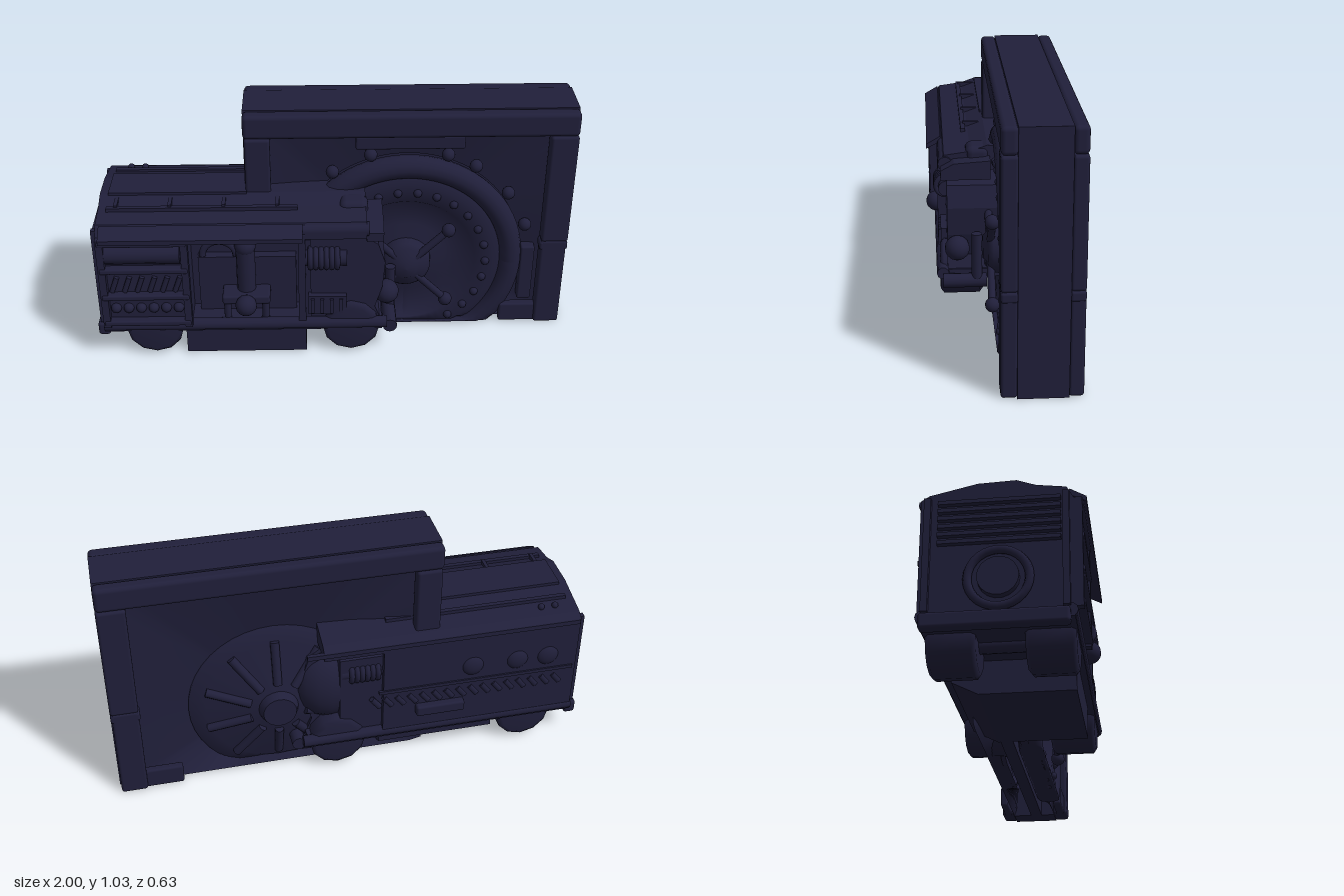
import * as THREE from 'three';
import { RoundedBoxGeometry } from 'three/addons/geometries/RoundedBoxGeometry.js';

const navy = new THREE.MeshStandardMaterial({ color: 0x201f3a, side: THREE.DoubleSide });
navy.name = 'dark navy';
const CX = 0.31, CY = 0.31; // centre of the wheel in the wall

export function createModel() {
  const model = new THREE.Group();
  let parent = model;
  const section = (name) => {
    parent = new THREE.Group();
    parent.name = name;
    model.add(parent);
  };
  const add = (name, geo, x = 0, y = 0, z = 0) => {
    const m = new THREE.Mesh(geo, navy);
    m.name = name;
    m.position.set(x, y, z);
    parent.add(m);
    return m;
  };
  // box from min/max limits, r rounds the edges
  const box = (name, x0, x1, y0, y1, z0, z1, r = 0) => add(name,
    r ? new RoundedBoxGeometry(x1 - x0, y1 - y0, z1 - z0, 2, r) : new THREE.BoxGeometry(x1 - x0, y1 - y0, z1 - z0),
    (x0 + x1) / 2, (y0 + y1) / 2, (z0 + z1) / 2);
  const ball = (name, r, x, y, z) => add(name, new THREE.SphereGeometry(r, 14, 10), x, y, z);
  const rod = (name, a, b, r, sides = 12) => {
    const p = new THREE.Vector3(...a), q = new THREE.Vector3(...b);
    const m = add(name, new THREE.CylinderGeometry(r, r, p.distanceTo(q), sides));
    m.position.copy(p).add(q).multiplyScalar(0.5);
    m.quaternion.setFromUnitVectors(new THREE.Vector3(0, 1, 0), q.sub(p).normalize());
    return m;
  };
  const extrude = (pts, depth) => new THREE.ExtrudeGeometry(
    new THREE.Shape(pts.map((p) => new THREE.Vector2(...p))), { depth, bevelEnabled: false });
  // [z, y] cross-section run along x
  const prism = (name, pts, x0, x1) =>
    add(name, extrude(pts.map(([z, y]) => [-z, y]), x1 - x0).rotateY(Math.PI / 2), x0, 0, 0);
  // [radius, z] profile turned about the z axis
  const turned = (pts, sides) =>
    new THREE.LatheGeometry(pts.map((p) => new THREE.Vector2(...p)), sides).rotateX(Math.PI / 2);
  // cut round wheel parts off flat at the ground
  const cutAtGround = (g) => {
    const p = g.attributes.position;
    for (let i = 0; i < p.count; i++) p.setY(i, Math.max(p.getY(i), -CY));
    g.computeVertexNormals();
    return g;
  };
  // panel running from the rectangular frame to a circle
  const funnel = (name, zOuter, zInner, r, side) => {
    const n = 128, pos = [], idx = [];
    for (let i = 0; i <= n; i++) {
      const a = side * (i / n) * Math.PI * 2, c = Math.cos(a), s = Math.sin(a);
      const t = Math.min((c > 0 ? 0.64 : 0.63) / Math.abs(c || 1e-6), (s > 0 ? 0.68 : CY) / Math.abs(s || 1e-6));
      const k = Math.min(r, t);
      pos.push(CX + c * t, CY + s * t, zOuter, CX + c * k, CY + s * k, zInner);
      if (i < n) idx.push(2 * i, 2 * i + 2, 2 * i + 1, 2 * i + 1, 2 * i + 2, 2 * i + 3);
    }
    const g = new THREE.BufferGeometry();
    g.setAttribute('position', new THREE.Float32BufferAttribute(pos, 3));
    g.setIndex(idx);
    g.computeVertexNormals();
    add(name, g);
  };

  // wall frame
  section('wall');
  box('wallCore', -0.35, 0.97, 0, 1.0, -0.11, -0.06);
  box('wallTop', -0.37, 1, 0.93, 1.03, -0.19, 0);
  box('wallEndLeft', 0.9, 1, 0, 0.95, -0.19, 0);
  box('wallEndRight', -0.37, -0.27, 0.1, 0.95, -0.19, 0);
  for (const [z0, z1] of [[-0.002, 0.06], [-0.245, -0.188]]) {
    box('topBeam', -0.37, 1, 0.925, 1.03, z0, z1, 0.018);
    box('upperColumn', 0.885, 1, 0.42, 0.925, z0, z1, 0.012);
    box('lowerColumn', 0.885, 0.995, 0, 0.425, z0, z1, 0.012);
    box('columnJoint', 0.88, 1, 0.38, 0.42, z0, z1, 0.01);
    box('rightColumn', -0.365, -0.26, 0.1, 0.925, z0, z1, 0.012);
    box('bottomBeam', 0.73, 0.9, 0, 0.09, z0 + 0.012, z1 - 0.012, 0.01);
  }
  box('wallPlate', 0.09, 0.54, 0.86, 0.92, -0.02, 0.03, 0.008);
  box('sidePlate', 0.81, 0.87, 0.1, 0.37, -0.03, 0.02, 0.008);
  funnel('frontPanel', 0, -0.035, 0.5, -1);
  funnel('backPanel', -0.19, -0.125, 0.35, 1);

  // large wheel set in the front of the wall
  section('gateWheel');
  add('ring', cutAtGround(new THREE.TorusGeometry(0.455, 0.05, 12, 72)), CX, CY, 0);
  add('dish', cutAtGround(turned([[0.001, 0], [0.12, 0], [0.17, -0.02], [0.27, -0.025], [0.3, 0.015], [0.38, 0.02], [0.42, 0]], 64)), CX, CY, 0.01);
  add('hub', turned([[0.001, 0.085], [0.045, 0.08], [0.06, 0.065], [0.09, 0.06], [0.105, 0.04], [0.11, 0]], 24), CX, CY, 0.01);
  for (let i = 0; i < 26; i++) {
    const a = (i / 26) * Math.PI * 2, y = CY + 0.345 * Math.sin(a);
    if (y > 0.02) ball('rivet', 0.018, CX + 0.345 * Math.cos(a), y, 0.03);
  }
  for (const d of [126, 107, 72, 58, 37, 18]) {
    const a = d * Math.PI / 180;
    ball('bolt', 0.028, CX + 0.535 * Math.cos(a), CY + 0.535 * Math.sin(a), 0);
  }
  for (let i = 0; i < 4; i++) {
    const a = Math.PI / 4 + i * Math.PI / 2, c = Math.cos(a), s = Math.sin(a);
    rod('spoke', [CX + 0.06 * c, CY + 0.06 * s, 0.06], [CX + 0.25 * c, CY + 0.25 * s, 0.06], 0.016);
    ball('spokeKnob', 0.03, CX + 0.25 * c, CY + 0.25 * s, 0.06);
  }

  // spoked disc on the back of the wall
  section('backDisc');
  add('disc', cutAtGround(turned([[0.001, -0.07], [0.08, -0.065], [0.3, -0.015], [0.37, 0], [0.37, 0.02]], 40)), CX, CY, -0.14);
  add('discHub', new THREE.CylinderGeometry(0.07, 0.09, 0.05, 20).rotateX(-Math.PI / 2), CX, CY, -0.215);
  for (let i = 0; i < 10; i++) {
    const a = (i + 0.5) / 10 * Math.PI * 2, c = Math.cos(a), s = Math.sin(a);
    const r = s < 0 ? Math.min(0.31, 0.27 / -s) : 0.31;
    rod('discSpoke', [CX + 0.12 * c, CY + 0.12 * s, -0.2], [CX + r * c, CY + r * s, -0.158], 0.019, 10);
  }

  // vehicle body
  section('body');
  const roofline = [[0.24, 0.645], [0.13, 0.66], [0.06, 0.685], [-0.08, 0.68], [-0.255, 0.64]];
  const back = [[-0.285, 0.62], [-0.285, 0.14]];
  prism('rearBody', [[0.265, 0.14], [0.265, 0.6], ...roofline, ...back], -0.965, -0.6);
  prism('cabinBack', [[0.12, 0.14], [0.12, 0.57], [0.265, 0.57], [0.265, 0.6], ...roofline, ...back], -0.6, -0.12);
  prism('middleBody', [[0.22, 0.14], [0.22, 0.55], [0.18, 0.6], [-0.2, 0.6], [-0.26, 0.55], [-0.26, 0.14]], -0.12, 0.06);
  prism('frontRoof', [[0.265, 0.58], [0.265, 0.61], ...roofline, [-0.285, 0.62], [-0.285, 0.58]], -0.12, 0.13);
  prism('hoodLip', [[0.255, 0.56], [0.255, 0.6], [0.2, 0.63], [0.05, 0.64], [0.05, 0.56]], 0.13, 0.2);
  box('floor', -0.97, 0.2, 0.13, 0.165, -0.28, 0.265);
  prism('underBox', [[0.24, 0.14], [0.24, 0], [-0.12, 0], [-0.22, 0.05], [-0.22, 0.14]], -0.63, -0.12);
  box('underStep', -0.12, 0.02, 0.06, 0.14, -0.15, 0.15);
  for (const z of [0.25, -0.265]) rod('skirtRail', [-0.97, 0.155, z], [0.22, 0.155, z], 0.026, 10);
  box('rearBumper', -1, -0.95, 0.1, 0.16, -0.275, 0.25, 0.012);
  prism('roofStrip', [[0.07, 0.68], [0.07, 0.693], [-0.1, 0.688], [-0.1, 0.67]], -0.93, -0.36);
  for (const z of [0.15, -0.17]) box('roofRail', -0.93, -0.15, 0.645, 0.672, z - 0.01, z + 0.01);
  for (let i = 0; i < 4; i++) box('roofRib', -0.9 + i * 0.22, -0.885 + i * 0.22, 0.655, 0.68, 0.05, 0.15);
  for (const x of [-0.87, -0.81]) ball('roofNub', 0.014, x, 0.657, -0.215);
  prism('awning', [[0.31, 0.59], [0.31, 0.61], [0.25, 0.645], [0.24, 0.625]], -0.95, -0.13);

  // rear windows and louvres on the front side
  section('sidePanels');
  for (const x of [-0.965, -0.625]) box('panelPost', x, x + 0.03, 0.17, 0.6, 0.26, 0.295);
  for (const y of [0.18, 0.31, 0.44, 0.57]) box('panelBar', -0.96, -0.6, y, y + 0.025, 0.26, 0.3, 0.008);
  rod('upperTank', [-0.94, 0.515, 0.25], [-0.63, 0.515, 0.25], 0.045);
  for (let i = 0; i < 6; i++) {
    rod('slantedLouvre', [-0.92 + i * 0.052, 0.34, 0.27], [-0.895 + i * 0.052, 0.41, 0.27], 0.012, 6);
    ball('panelStud', 0.022, -0.91 + i * 0.052, 0.255, 0.268);
  }

  // machinery in the open bay
  section('openBay');
  box('bayPost', -0.15, -0.12, 0.14, 0.6, 0.19, 0.265);
  box('bayBlock', -0.57, -0.16, 0.15, 0.43, 0.1, 0.16);
  box('bench', -0.47, -0.27, 0.25, 0.29, 0.14, 0.25, 0.01);
  for (const x of [-0.45, -0.29]) rod('benchLeg', [x, 0.16, 0.23], [x, 0.26, 0.23], 0.015);
  rod('chimney', [-0.37, 0.28, 0.18], [-0.37, 0.5, 0.18], 0.04);
  ball('chimneyCap', 0.045, -0.37, 0.5, 0.18);
  add('bayPipe', new THREE.TorusGeometry(0.07, 0.015, 8, 20, Math.PI), -0.48, 0.44, 0.16);
  ball('bayKnob', 0.045, -0.37, 0.26, 0.27);

  // nose block with a rounded front
  section('nose');
  const hood = [[-0.1, 0.14], [-0.1, 0.57], [0.12, 0.57], [0.18, 0.53], [0.21, 0.44], [0.2, 0.32], [0.17, 0.22], [0.2, 0.14]];
  add('noseBlock', extrude(hood, 0.43), 0, 0, -0.2);
  box('louvreBox', -0.11, 0.05, 0.2, 0.29, 0.215, 0.255);
  add('boilerPod', new THREE.SphereGeometry(0.16, 16, 12), 0.09, 0.38, -0.15).scale.set(0.95, 1.1, 0.7);
  box('topPod', 0.02, 0.14, 0.6, 0.68, 0.05, 0.15, 0.03);
  rod('roofTube', [-0.22, 0.61, 0.235], [0.14, 0.61, 0.235], 0.03);
  for (let i = 0; i < 4; i++) box('louvre', -0.1 + i * 0.04, -0.085 + i * 0.04, 0.21, 0.28, 0.245, 0.265);
  ball('noseLamp', 0.052, 0.22, 0.27, 0.19);
  rod('nosePipe', [0.24, 0.14, 0.11], [0.24, 0.34, 0.11], 0.022);
  for (const s of [1, -1]) {
    for (let i = 0; i < 6; i++)
      add('springCoil', new THREE.TorusGeometry(0.042, 0.012, 8, 18).rotateY(Math.PI / 2), -0.1 + i * 0.022, 0.47, s * 0.23);
    rod('springCore', [-0.13, 0.47, s * 0.23], [0.05, 0.47, s * 0.23], 0.034);
    rod('noseRail', [0.235, 0.13, s * 0.07], [0.235, 0.13, s * 0.25], 0.03);
  }

  // fittings on the back side
  section('backSide');
  for (const x of [-0.505, -0.7, -0.835])
    add('dome', new THREE.SphereGeometry(0.05, 16, 12), x, 0.45, -0.275).scale.z = 0.5;
  for (let i = 0; i < 16; i++)
    rod('backLouvre', [-0.9 + i * 0.053, 0.3, -0.28], [-0.865 + i * 0.053, 0.345, -0.28], 0.013, 6);
  box('backBar', -0.95, -0.1, 0.37, 0.385, -0.292, -0.28);
  box('backTrim', -0.96, 0.2, 0.6, 0.62, -0.293, -0.275);
  box('step', -0.47, -0.26, 0.24, 0.29, -0.316, -0.27, 0.01);

  // rear end: grille slats and round cover
  section('rearEnd');
  for (let i = 0; i < 6; i++) box('slat', -0.985, -0.96, 0.43 + i * 0.032, 0.445 + i * 0.032, -0.22, 0.22);
  for (const z of [-0.27, 0.225]) box('endPost', -0.985, -0.96, 0.17, 0.62, z, z + 0.025);
  add('coverRing', new THREE.TorusGeometry(0.11, 0.016, 8, 28).rotateY(Math.PI / 2), -0.975, 0.29, 0);
  rod('cover', [-0.96, 0.29, 0], [-0.992, 0.29, 0], 0.075, 18);

  // wheels with a flat tread
  section('wheels');
  const rim = [[0.001, -0.09], [0.1, -0.09], [0.12, -0.075], [0.12, 0.075], [0.1, 0.09], [0.001, 0.09]];
  for (const x of [-0.76, 0.07]) {
    for (const z of [0.17, -0.185]) add('wheel', turned(rim, 12), x, 0.13, z);
    rod('axle', [x, 0.13, -0.2], [x, 0.13, 0.2], 0.03);
  }
  return model;
}
